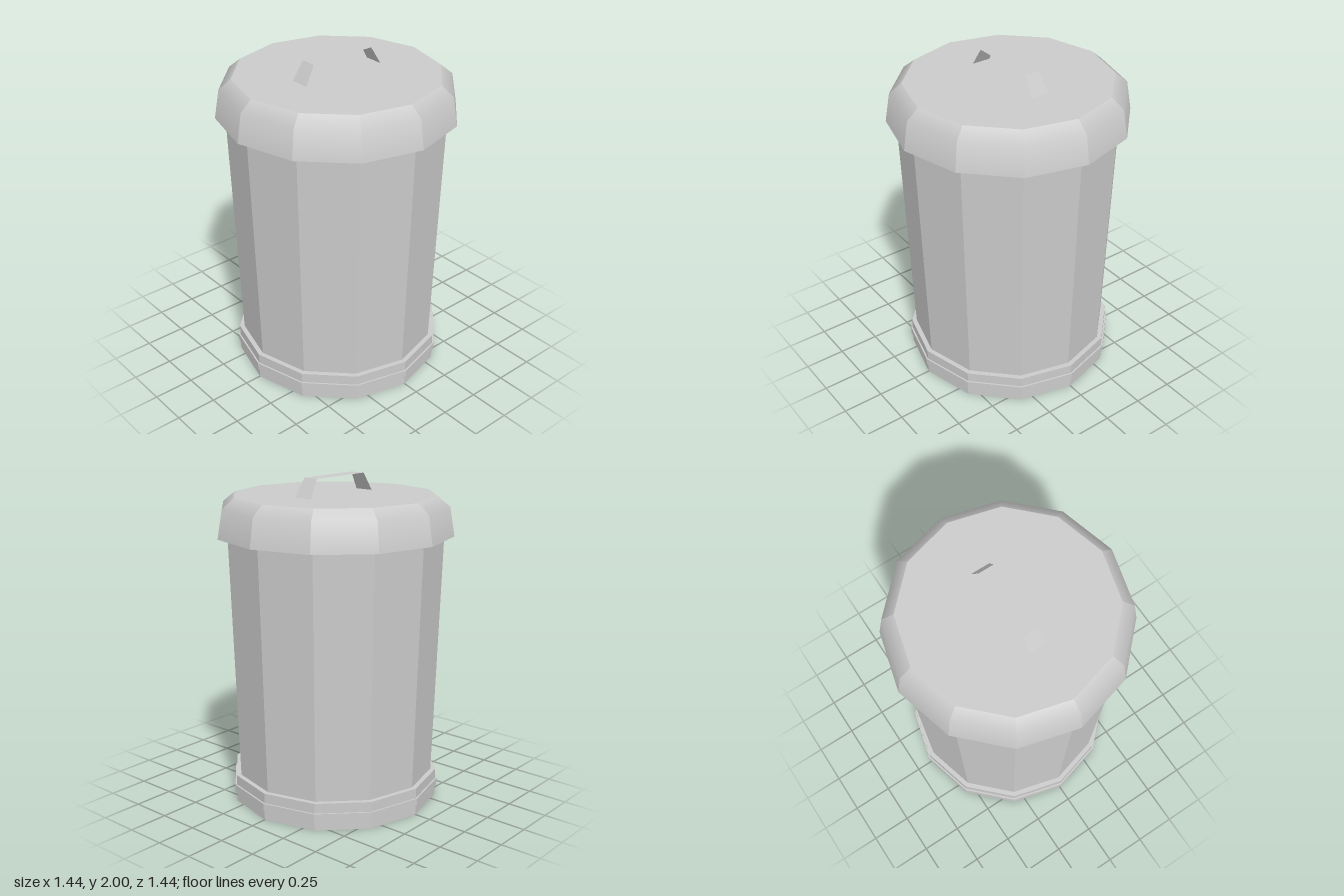
import * as THREE from 'three';
import { mergeGeometries } from 'three/addons/utils/BufferGeometryUtils.js';

const SIDES = 12;
const STEP = (Math.PI * 2) / SIDES;

// Twelve flat panels swept from a profile; smooth along the profile, hard between panels
function panels(profile) {
  const points = profile.map(([r, y]) => new THREE.Vector2(r, y));
  const parts = [];
  for (let i = 0; i < SIDES; i++) {
    const panel = new THREE.LatheGeometry(points, 1, i * STEP, STEP);
    const middle = (i + 0.5) * STEP;
    const n = panel.attributes.normal;
    for (let k = 0; k < n.count; k++) {
      const h = Math.hypot(n.getX(k), n.getZ(k));
      n.setXYZ(k, h * Math.sin(middle), n.getY(k), h * Math.cos(middle));
    }
    parts.push(panel);
  }
  return mergeGeometries(parts);
}

// Same sweep with a hard edge at every profile point
function hardPanels(profile) {
  return mergeGeometries(profile.slice(1).map((p, i) => panels([profile[i], p])));
}

// Bent strip: each section is [half width, height, z]
function strip(sections) {
  const geometry = new THREE.PlaneGeometry(1, 1, 1, sections.length - 1);
  const pos = geometry.attributes.position;
  for (let k = 0; k < pos.count; k++) {
    const [w, y, z] = sections[Math.floor(k / 2)];
    pos.setXYZ(k, k % 2 ? w : -w, y, z);
  }
  const flat = geometry.toNonIndexed();
  flat.computeVertexNormals();
  return flat;
}

export function createModel() {
  const model = new THREE.Group();
  model.name = 'trashCan';
  const material = new THREE.MeshStandardMaterial({ color: 0xcccccc, side: THREE.DoubleSide });
  const add = (name, geometry) => {
    const mesh = new THREE.Mesh(geometry, material);
    mesh.name = name;
    model.add(mesh);
  };

  // Open-bottomed base band with a raised hoop
  add('base', hardPanels([
    [0.645, 0], [0.645, 0.065], [0.655, 0.065], [0.655, 0.108],
    [0.645, 0.108], [0.645, 0.17], [0.615, 0.17],
  ]));

  // Tapered wall
  add('body', panels([[0.615, 0.17], [0.66, 1.655]]));

  // Lid: underside ledge, rounded skirt and flat top
  add('lidLedge', panels([[0.66, 1.655], [0.72, 1.655]]));
  add('lidSkirt', panels([[0.72, 1.655], [0.69, 1.83], [0.617, 1.89]]));
  add('lidTop', panels([[0.617, 1.89], [0, 1.89]]));

  // Thin bent handle
  add('handle', strip([
    [0.06, 1.89, -0.28], [0.048, 2, -0.215], [0.048, 2, 0.215], [0.06, 1.89, 0.28],
  ]));

  return model;
}
